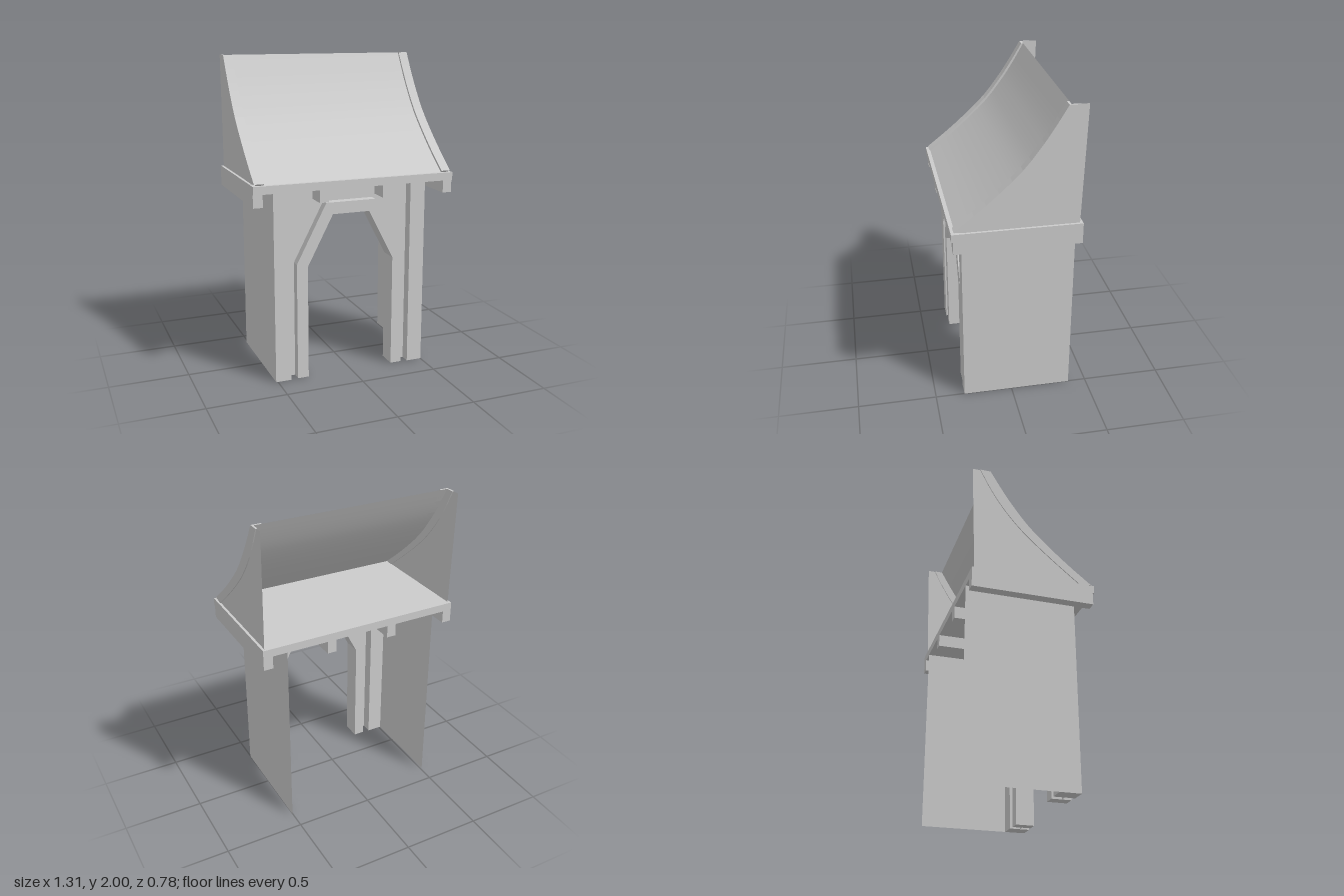
import * as THREE from 'three';

const material = new THREE.MeshStandardMaterial({ color: 0xcccccc, side: THREE.DoubleSide });

export function createModel() {
  const model = new THREE.Group();

  const add = (name, geometry, parent = model) => {
    const mesh = new THREE.Mesh(geometry, material);
    mesh.name = name;
    parent.add(mesh);
    return mesh;
  };
  // Box given by its limits on each axis
  const box = (name, x0, x1, y0, y1, z0, z1, parent) =>
    add(name, new THREE.BoxGeometry(x1 - x0, y1 - y0, z1 - z0), parent)
      .position.set((x0 + x1) / 2, (y0 + y1) / 2, (z0 + z1) / 2);
  const points = (list) => list.map(([a, b]) => new THREE.Vector2(a, b));
  const curve = (list) => new THREE.SplineCurve(points(list)).getPoints(14);
  // Side outline in (z, y), extruded between two x limits
  const sideExtrude = (outline, x0, x1) =>
    new THREE.ExtrudeGeometry(new THREE.Shape(outline), { depth: x1 - x0, bevelEnabled: false })
      .rotateY(-Math.PI / 2).translate(x1, 0, 0);

  // Floor slab and the joists under it
  box('floorSlab', -0.655, 0.655, 1.225, 1.275, -0.385, 0.39);
  for (const x of [-0.625, -0.21, 0.207, 0.625])
    box('joist', x - 0.03, x + 0.03, 1.145, 1.225, -0.385, 0.38);

  // Gateway below the floor
  const gateway = new THREE.Group();
  gateway.name = 'gateway';
  gateway.position.x = -0.005;
  model.add(gateway);
  const mirrored = (half) => [...half, ...half.map(([x, y]) => [-x, y]).reverse()];
  const outer = mirrored([[0.36, 0], [0.36, 0.75], [0.165, 1.125]]);
  const inner = mirrored([[0.288, 0], [0.288, 0.73], [0.122, 1.05]]);
  const archShape = new THREE.Shape(points([...outer, ...inner.reverse()]));
  add('archFrame', new THREE.ExtrudeGeometry(archShape, { depth: 0.122, bevelEnabled: false }), gateway)
    .position.z = 0.185;

  // Thin recessed wall around the arch
  const wallShape = new THREE.Shape(points([[0.41, 0], [0.41, 1.225], [-0.41, 1.225], [-0.41, 0],
    ...[...outer].reverse()]));
  add('frontWall', new THREE.ShapeGeometry(wallShape), gateway).position.z = 0.25;

  // Corner pillars and the thin walls running back from them
  for (const s of [-1, 1]) {
    const a = s * 0.405, b = s * 0.507;
    box('pillar', Math.min(a, b), Math.max(a, b), 0, 1.225, 0.18, 0.313, gateway);
    const wall = add('sideWall', new THREE.PlaneGeometry(0.565, 1.225).rotateY(s * Math.PI / 2), gateway);
    wall.position.set(b, 0.6125, -0.1025);
  }

  // Sweeping roof sheet
  const upper = curve([[0.375, 1.285], [0.2, 1.425], [0, 1.61], [-0.12, 1.76], [-0.2, 1.88], [-0.272, 2]]);
  const lower = curve([[0.305, 1.275], [0.15, 1.4], [0, 1.53], [-0.1, 1.63], [-0.2, 1.755], [-0.28, 1.885], [-0.338, 2]]);
  const roofLine = curve([[0.365, 1.275], [0.19, 1.415], [-0.01, 1.6], [-0.13, 1.75], [-0.21, 1.87], [-0.285, 2]]);
  const roof = new THREE.PlaneGeometry(1.26, 1, 1, roofLine.length - 1);
  const pos = roof.attributes.position;
  for (let i = 0; i < pos.count; i++) {
    const p = roofLine[roofLine.length - 1 - Math.floor(i / 2)];
    pos.setXYZ(i, pos.getX(i), p.y, p.x);
  }
  roof.computeVertexNormals();
  add('roof', roof);

  // Raised edge trim, verge board and gable panel on each end
  const flange = [...upper, ...[...roofLine].reverse()];
  const board = [...upper, ...[...lower].reverse()];
  const gable = [...lower, new THREE.Vector2(-0.387, 2), new THREE.Vector2(-0.367, 1.275)];
  for (const s of [-1, 1]) {
    const span = (a, b) => (s > 0 ? [a, b] : [-b, -a]);
    add('roofTrim', sideExtrude(flange, ...span(0.585, 0.635)));
    add('vergeBoard', sideExtrude(board, ...span(0.633, 0.645)));
    add('gablePanel', new THREE.ShapeGeometry(new THREE.Shape(gable)).rotateY(-Math.PI / 2))
      .position.x = s * 0.639;
  }
  return model;
}
